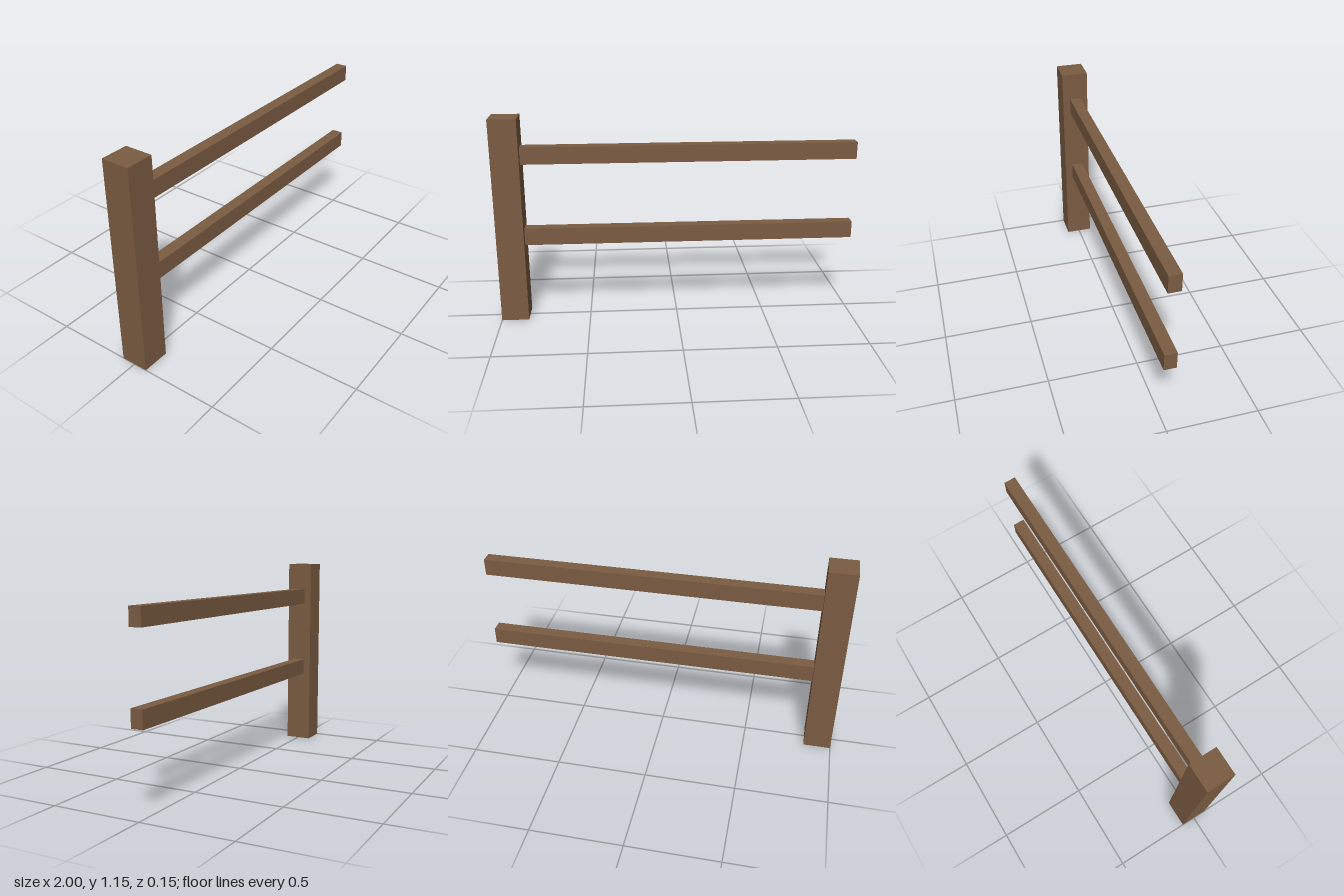
import * as THREE from 'three';

export function createModel() {
  const group = new THREE.Group();
  const wood = new THREE.MeshStandardMaterial({ color: 0x7b5c42 });
  wood.name = 'brown wood';

  // Box given by its minimum and maximum x and y, centred on z
  function beam(name, x0, x1, y0, y1, depth) {
    const mesh = new THREE.Mesh(new THREE.BoxGeometry(x1 - x0, y1 - y0, depth), wood);
    mesh.name = name;
    mesh.position.set((x0 + x1) / 2, (y0 + y1) / 2, 0);
    group.add(mesh);
  }

  // Upright post at the model's right end
  beam('post', -1, -0.848, 0, 1.155, 0.154);

  // Two rails running from the post
  beam('lowerRail', -0.848, 1, 0.436, 0.531, 0.066);
  beam('upperRail', -0.848, 1, 0.898, 0.993, 0.066);

  return group;
}
